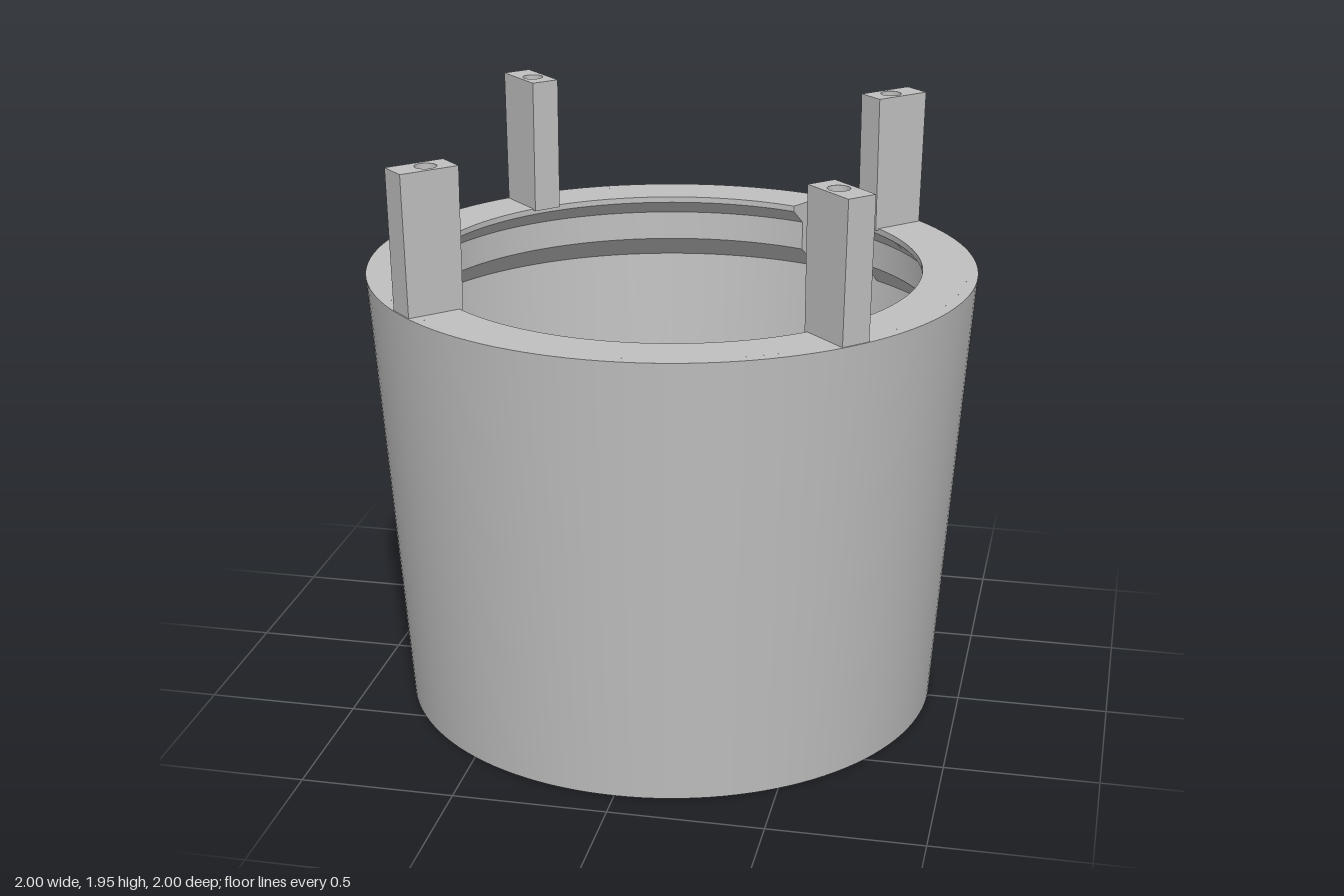
import * as THREE from 'three';
import { mergeGeometries } from 'three/addons/utils/BufferGeometryUtils.js';

const SEGMENTS = 128;
const TOP = 1.49;
const NOTCH_ANGLE = Math.PI * 5 / 6; // measured from +z towards +x
const NOTCH_HALF = 0.14;

const grey = new THREE.MeshStandardMaterial({ color: 0xc0c0c0, side: THREE.DoubleSide });
grey.name = 'grey';

// One lathe per profile segment keeps the corners sharp
function revolve(profile, adjust = (g) => g) {
  const parts = [];
  for (let i = 0; i < profile.length - 1; i++) {
    const pair = [profile[i], profile[i + 1]].map(([r, y]) => new THREE.Vector2(r, y));
    parts.push(adjust(new THREE.LatheGeometry(pair, SEGMENTS)));
  }
  return mergeGeometries(parts);
}

// Squeeze a full revolution so that it leaves a parallel-sided notch
function openNotch(geometry) {
  const pos = geometry.attributes.position;
  for (let k = 0; k < pos.count; k++) {
    const t = Math.floor(k / 2) / SEGMENTS;
    const r = Math.hypot(pos.getX(k), pos.getZ(k));
    const half = Math.asin(NOTCH_HALF / r);
    const phi = NOTCH_ANGLE + half + t * (2 * Math.PI - 2 * half);
    pos.setXYZ(k, r * Math.sin(phi), pos.getY(k), r * Math.cos(phi));
  }
  geometry.computeVertexNormals();
  return geometry;
}

// Flat end face of the notch, on the side given by sign
function notchEnd(profile, sign) {
  const shape = new THREE.Shape(profile.map(([r, y]) => new THREE.Vector2(r, y)));
  const geometry = new THREE.ShapeGeometry(shape);
  const pos = geometry.attributes.position;
  for (let k = 0; k < pos.count; k++) {
    const r = pos.getX(k);
    pos.setXYZ(k, sign * NOTCH_HALF, pos.getY(k), Math.sqrt(r * r - NOTCH_HALF ** 2));
  }
  // the left-hand end needs its corners reversed to face into the notch
  if (sign > 0) geometry.index.array.reverse();
  geometry.computeVertexNormals();
  geometry.rotateY(NOTCH_ANGLE);
  return geometry;
}

// Upright post with a blind screw hole, its length along local x
function makePost() {
  const inner = 0.806, half = 0.05, base = 1.485, height = 0.46;
  const outerBase = 0.995, outerTop = 1.006, holeAt = 0.893, holeRadius = 0.035;
  const shape = new THREE.Shape();
  shape.moveTo(inner, -half).lineTo(outerBase, -half).lineTo(outerBase, half).lineTo(inner, half).closePath();
  shape.holes.push(new THREE.Path().absarc(holeAt, 0, holeRadius, 0, Math.PI * 2, true));
  const body = new THREE.ExtrudeGeometry(shape, { depth: height, bevelEnabled: false, curveSegments: 24 });
  // lean the outer face outwards
  const pos = body.attributes.position;
  for (let k = 0; k < pos.count; k++) {
    if (pos.getX(k) > 0.98 && pos.getZ(k) > height / 2) pos.setX(k, outerTop);
  }
  body.computeVertexNormals();
  body.rotateX(-Math.PI / 2).translate(0, base, 0);
  const floor = new THREE.CircleGeometry(holeRadius, 24);
  floor.rotateX(-Math.PI / 2).translate(holeAt, base + height - 0.2, 0);

  const post = new THREE.Group();
  post.name = 'post';
  const bodyMesh = new THREE.Mesh(body, grey);
  bodyMesh.name = 'postBody';
  const floorMesh = new THREE.Mesh(floor, grey);
  floorMesh.name = 'screwHoleFloor';
  post.add(bodyMesh, floorMesh);
  return post;
}

export function createModel() {
  const model = new THREE.Group();
  model.name = 'taperedCollar';
  const add = (name, geometry) => {
    const mesh = new THREE.Mesh(geometry, grey);
    mesh.name = name;
    model.add(mesh);
  };

  // Thin tapered wall with a small ledge inside the foot
  add('wall', revolve([
    [0.895, 0], [1, TOP], [0.966, TOP], [0.877, 0.13], [0.888, 0.13], [0.888, 0], [0.895, 0],
  ]));

  // Stepped inner flange, interrupted by the notch
  const flange = [
    [0.966, TOP], [0.82, TOP], [0.82, 1.47], [0.87, 1.42], [0.87, 1.32], [0.949, 1.24],
  ];
  add('flange', revolve(flange, openNotch));
  for (const sign of [-1, 1]) add('notchEnd', notchEnd(flange, sign));

  // Four posts on the diagonals
  for (let i = 0; i < 4; i++) {
    const post = makePost();
    post.rotation.y = Math.PI / 4 + i * Math.PI / 2;
    model.add(post);
  }
  return model;
}
